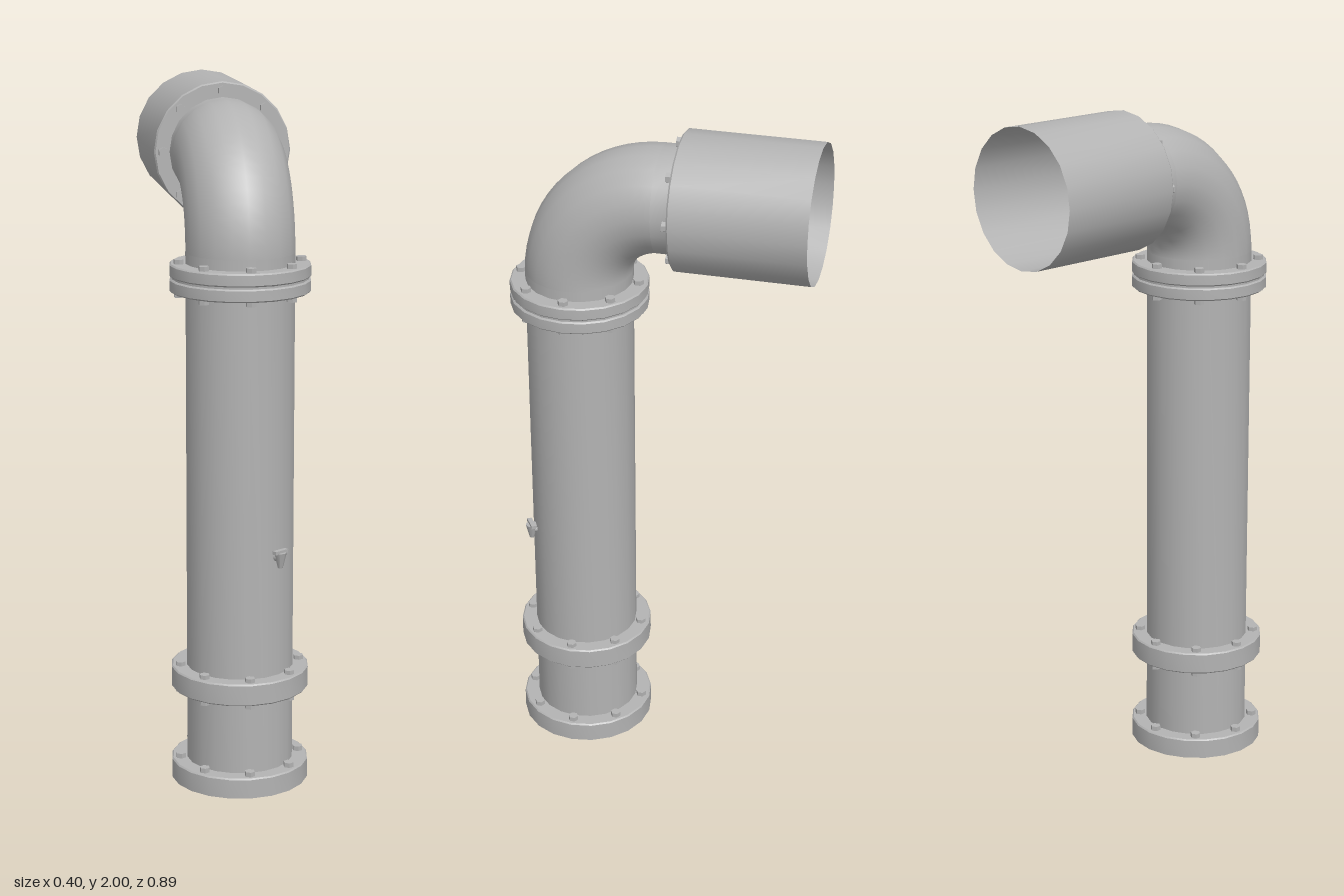
import * as THREE from 'three';
import { toCreasedNormals } from 'three/addons/utils/BufferGeometryUtils.js';

const PIPE = 0.155, RIM = 0.2, SIDES = 20, AXIS_Z = 0.245;

export function createModel() {
  const steel = new THREE.MeshStandardMaterial({ color: 0xb3b3b3, side: THREE.DoubleSide });
  steel.name = 'grey steel';
  const model = new THREE.Group();
  model.name = 'ventPipe';

  const add = (parent, name, geometry, x = 0, y = 0, z = 0) => {
    const mesh = new THREE.Mesh(geometry, steel);
    mesh.name = name;
    mesh.position.set(x, y, z);
    parent.add(mesh);
    return mesh;
  };

  // Revolved part with crisp edges, profile given as [radius, height]
  const turned = (parent, name, profile) => {
    const points = profile.map(([r, h]) => new THREE.Vector2(r, h));
    return add(parent, name, toCreasedNormals(new THREE.LatheGeometry(points, SIDES), 0.6));
  };

  // Ring of eight hexagonal bolt heads
  const boltShape = toCreasedNormals(new THREE.CylinderGeometry(0.015, 0.015, 0.016, 6), 0.3);
  const boltRing = (parent, name, height) => {
    const ring = new THREE.Group();
    ring.name = name;
    for (let i = 0; i < 8; i++) {
      const a = (i * Math.PI) / 4;
      add(ring, 'bolt', boltShape, 0.174 * Math.sin(a), height, 0.174 * Math.cos(a));
    }
    parent.add(ring);
  };

  // Solid collar with slightly bevelled rims
  const collar = (parent, name, low, high) => turned(parent, name, [
    [PIPE, low], [RIM - 0.004, low], [RIM, low + 0.004],
    [RIM, high - 0.004], [RIM - 0.004, high], [PIPE, high],
  ]);

  // Upright column
  const column = new THREE.Group();
  column.name = 'column';
  column.position.z = AXIS_Z;
  model.add(column);
  turned(column, 'uprightPipe', [[PIPE, 0.055], [PIPE, 1.555]]);

  // Base flange, hollow underneath
  turned(column, 'baseFlange', [
    [PIPE, 0.045], [0.187, 0.045], [0.187, 0], [RIM, 0],
    [RIM, 0.056], [RIM - 0.004, 0.06], [PIPE, 0.06],
  ]);
  boltRing(column, 'baseBolts', 0.066);

  collar(column, 'lowerFlange', 0.28, 0.345);
  boltRing(column, 'lowerFlangeTopBolts', 0.349);
  boltRing(column, 'lowerFlangeUnderBolts', 0.274);

  // Upper joint: two plates with a gasket gap
  collar(column, 'upperFlangeLowerPlate', 1.445, 1.482);
  turned(column, 'gasket', [[0.194, 1.48], [0.194, 1.49]]);
  collar(column, 'upperFlangeUpperPlate', 1.488, 1.525);
  boltRing(column, 'upperFlangeTopBolts', 1.53);
  boltRing(column, 'upperFlangeUnderBolts', 1.439);

  // Small drain valve on the front left of the column
  const valve = new THREE.Group();
  valve.name = 'drainValve';
  valve.rotation.y = 0.58;
  valve.position.y = 0.7;
  column.add(valve);
  const stem = add(valve, 'valveStem', new THREE.CylinderGeometry(0.01, 0.016, 0.03, 8), 0, 0, 0.16);
  stem.rotation.x = Math.PI / 2;
  add(valve, 'valveSpout', new THREE.CylinderGeometry(0.018, 0.007, 0.045, 8), 0, -0.008, 0.168);
  add(valve, 'valveHandle', new THREE.BoxGeometry(0.048, 0.01, 0.014), 0, 0.017, 0.168);

  // Quarter bend turning the pipe backwards
  const bend = new THREE.TorusGeometry(AXIS_Z, PIPE, SIDES, 16, Math.PI / 2);
  bend.rotateY(-Math.PI / 2);
  add(model, 'elbow', bend, 0, 1.555, 0);

  // Horizontal outlet with wide open sleeve, built upright then laid back
  const outlet = new THREE.Group();
  outlet.name = 'outlet';
  outlet.position.y = 1.8;
  outlet.rotation.x = -Math.PI / 2;
  model.add(outlet);
  turned(outlet, 'outletNeck', [[PIPE, 0], [PIPE, 0.056]]);
  turned(outlet, 'outletSleeve', [[PIPE, 0.055], [RIM - 0.004, 0.055], [RIM, 0.06], [RIM, 0.445]]);
  boltRing(outlet, 'outletBolts', 0.048);

  return model;
}
